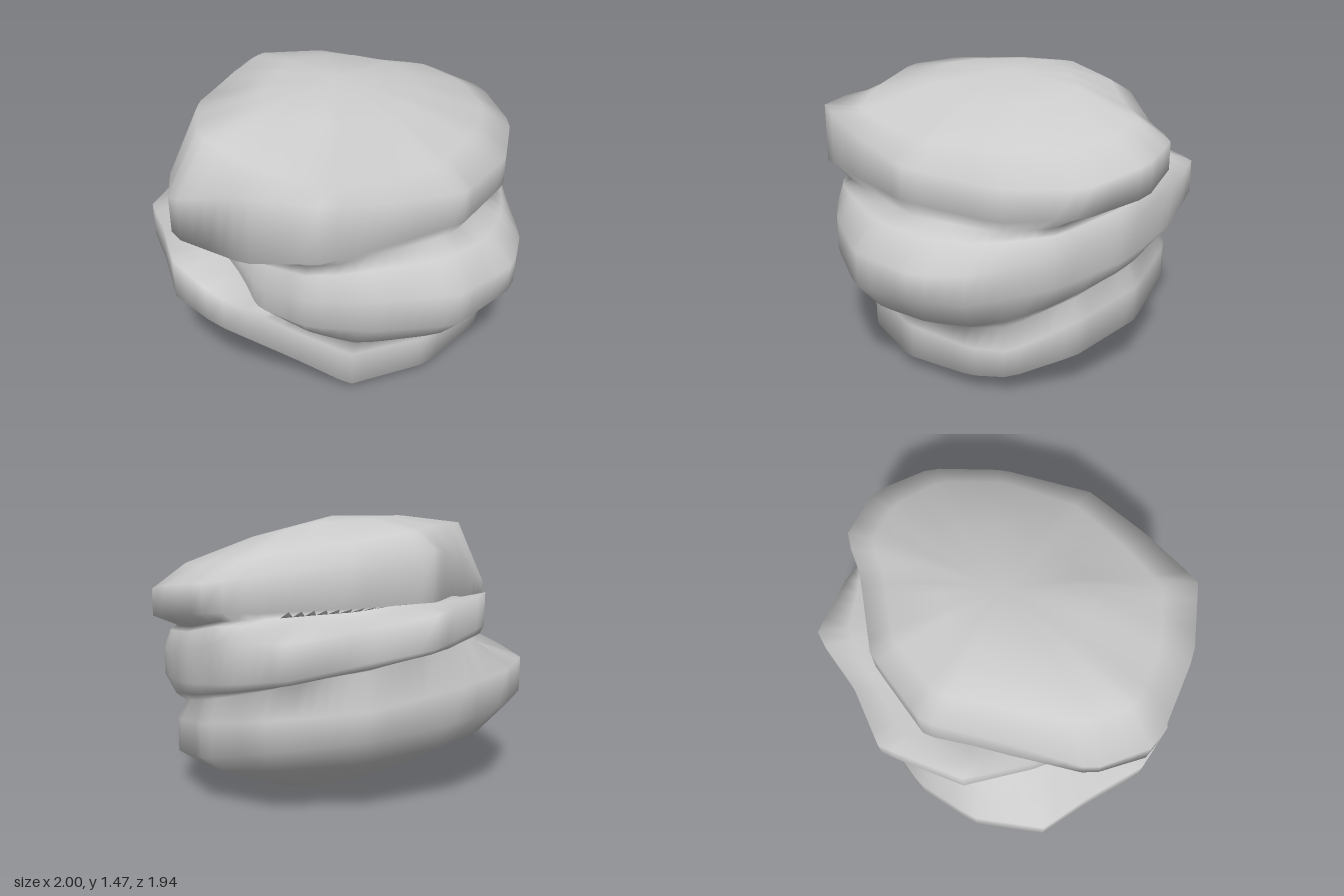
import * as THREE from 'three';

const COLUMNS = 72;

// Rim outlines run from the front round by +x: [x, z, lower y, upper y]
const BOTTOM = [
  [-0.38, 0.94, 0.5, 0.68], [-0.02, 0.8, 0.24, 0.42], [0.25, 0.72, 0.06, 0.26], [0.6, 0.46, 0.06, 0.24],
  [0.8, 0.1, 0.08, 0.23], [0.83, -0.1, 0.1, 0.24], [0.75, -0.42, 0.2, 0.38], [0.48, -0.7, 0.28, 0.46],
  [0.1, -0.85, 0.39, 0.55], [-0.4, -0.72, 0.45, 0.6], [-0.8, -0.4, 0.5, 0.68], [-0.97, -0.1, 0.52, 0.7],
  [-1, 0.27, 0.5, 0.69], [-0.83, 0.5, 0.5, 0.72], [-0.65, 0.78, 0.5, 0.72],
];
const MIDDLE = [
  [-0.2, 0.82, 0.55, 0.68], [0.1, 0.95, 0.59, 0.74], [0.42, 0.86, 0.56, 0.74], [0.77, 0.67, 0.52, 0.7],
  [1, 0.33, 0.55, 0.69], [1, 0.07, 0.55, 0.7], [0.86, -0.33, 0.6, 0.75], [0.6, -0.64, 0.65, 0.82],
  [0.27, -0.86, 0.72, 0.93], [-0.1, -0.98, 0.8, 0.97], [-0.38, -0.75, 0.84, 1.0], [-0.7, -0.58, 0.9, 1.06],
  [-0.85, -0.15, 0.94, 1.11], [-0.73, 0.2, 0.87, 0.98], [-0.58, 0.5, 0.79, 0.85],
];
const TOP = [
  [-0.2, 0.95, 0.9, 1.26], [0.18, 0.97, 0.98, 1.28], [0.47, 0.72, 0.98, 1.2], [0.74, 0.43, 0.96, 1.13],
  [0.88, -0.05, 0.92, 1.08], [0.86, -0.45, 0.95, 1.09], [0.66, -0.73, 1.0, 1.16], [0.37, -0.84, 1.06, 1.2],
  [0.15, -0.74, 1.05, 1.23], [-0.3, -0.63, 1.08, 1.3], [-0.64, -0.35, 1.08, 1.34], [-0.7, 0.05, 1.03, 1.26],
  [-0.76, 0.48, 0.95, 1.06], [-0.63, 0.8, 0.88, 1.09],
];

// Radius, lower y and upper y of a rim in the direction of angle a
function sampleRim(rim, a) {
  const side = (p) => p[0] * Math.cos(a) - p[1] * Math.sin(a);
  for (let i = 0; i < rim.length; i++) {
    const p = rim[i], q = rim[(i + 1) % rim.length];
    const sp = side(p), sq = side(q);
    if (sp <= 0 && sq > 0) {
      const t = sp / (sp - sq);
      const [x, z, lo, hi] = p.map((v, k) => v + (q[k] - v) * t);
      return { r: Math.hypot(x, z), lo, hi };
    }
  }
}

const mix = THREE.MathUtils.lerp;

// Vertical section through the skin at angle a, from underside to lid: [radius, y]
function section(a) {
  const [b, m, t] = [BOTTOM, MIDDLE, TOP].map((rim) => sampleRim(rim, a));
  const s = Math.sin(a), front = Math.max(0, Math.cos(a));
  const inner = t.r * 0.45 * s;
  // Creases below and above the filling
  const r1 = Math.min(b.r, m.r) * 0.94;
  const y1 = mix(b.hi, m.lo, 0.5 - 0.2 * (s + Math.cos(a)));
  const r2 = Math.min(m.r, t.r) * 0.92;
  const y2 = mix(m.hi, t.lo, 0.65);
  return [
    // Broad, nearly flat underside
    [b.r * 0.45, Math.max(0, 0.06 - 0.17 * b.r * 0.45 * s)],
    [b.r * 0.85, Math.max(0.015, b.lo * 0.74 - 0.03)],
    [b.r, b.lo],
    [b.r, b.hi],
    [r1, y1],
    // Rounded filling
    [mix(m.r, r1, 0.4), mix(m.lo, y1, 0.65)],
    [m.r, m.lo],
    [m.r, m.hi],
    [mix(m.r, r2, 0.5), mix(m.hi, y2, 0.8)],
    [r2, y2],
    // Domed lid sloping down to +x and toward the front
    [t.r, t.lo],
    [t.r, t.hi],
    [t.r * 0.82, 1.335 - 0.16 * t.r * 0.82 * s - 0.05 * front],
    [t.r * 0.45, 1.45 - 0.05 * inner - 0.2 * Math.max(0, inner) - 0.03 * front],
  ];
}

export function createModel() {
  const pos = [];
  const index = [];
  let rings = 0;
  for (let i = 0; i < COLUMNS; i++) {
    const a = (i / COLUMNS) * Math.PI * 2;
    const points = section(a);
    rings = points.length;
    for (const [r, y] of points) pos.push(r * Math.sin(a), y, r * Math.cos(a));
  }
  const low = COLUMNS * rings;
  const high = low + 1;
  pos.push(0, 0.05, 0, 0, 1.46, 0);

  // Join neighbouring sections and close both ends
  for (let i = 0; i < COLUMNS; i++) {
    const p = i * rings;
    const q = ((i + 1) % COLUMNS) * rings;
    for (let j = 0; j < rings - 1; j++) {
      index.push(p + j, q + j, q + j + 1, p + j, q + j + 1, p + j + 1);
    }
    index.push(low, q, p, high, p + rings - 1, q + rings - 1);
  }
  const geometry = new THREE.BufferGeometry();
  geometry.setAttribute('position', new THREE.Float32BufferAttribute(pos, 3));
  geometry.setIndex(index);
  geometry.computeVertexNormals();

  const skin = new THREE.Mesh(geometry, new THREE.MeshStandardMaterial({ color: 0xcccccc }));
  skin.name = 'layeredSkin';
  const group = new THREE.Group();
  group.name = 'layeredStack';
  group.add(skin);
  return group;
}
